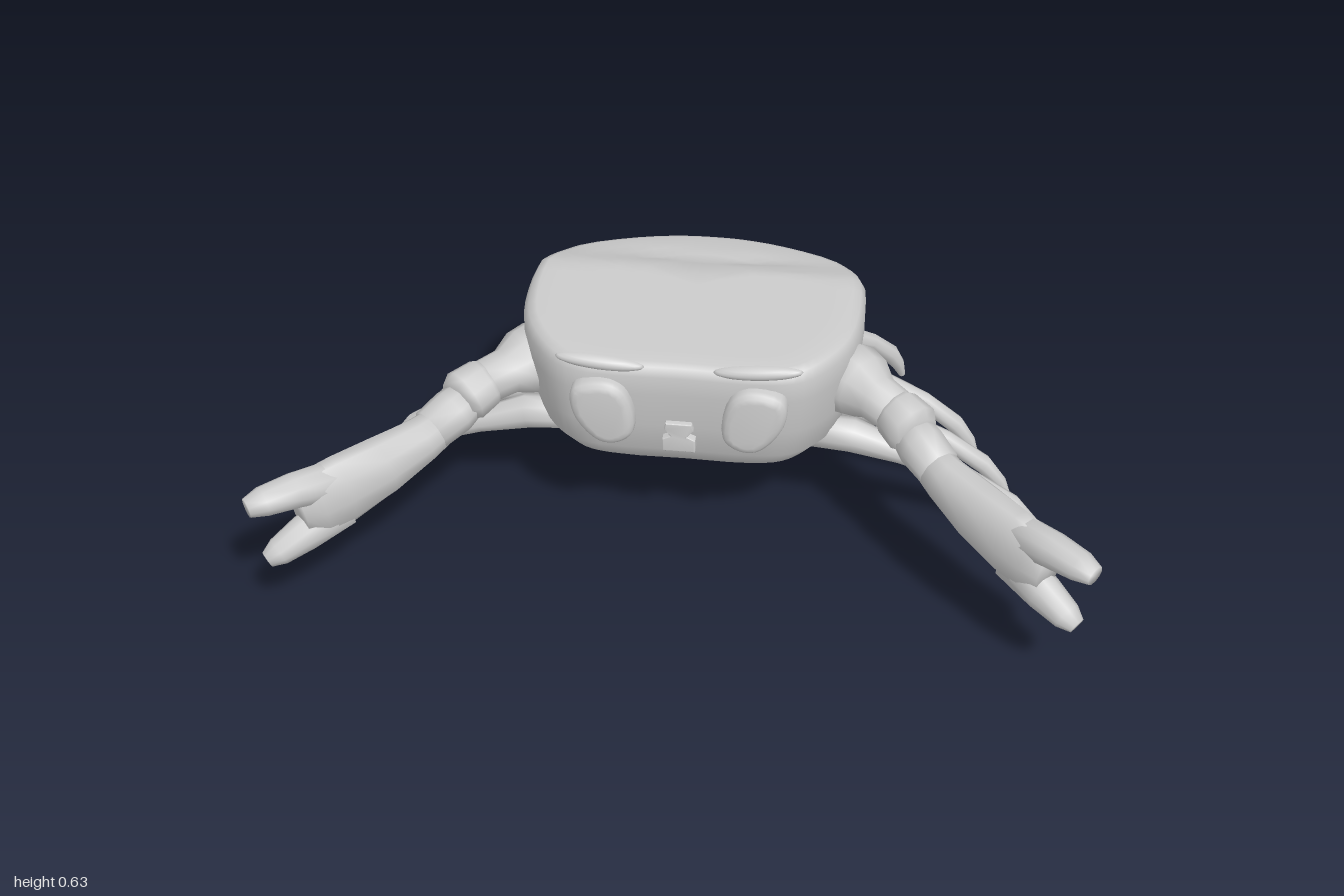
import * as THREE from 'three';
import { mergeVertices, toCreasedNormals } from 'three/addons/utils/BufferGeometryUtils.js';

const grey = new THREE.MeshStandardMaterial({ color: 0xcccccc });
const greyDouble = new THREE.MeshStandardMaterial({ color: 0xcccccc, side: THREE.DoubleSide });
const V = (x, y, z) => new THREE.Vector3(x, y, z);

function addMesh(parent, name, geometry, material = grey) {
  const mesh = new THREE.Mesh(geometry, material);
  mesh.name = name;
  parent.add(mesh);
  return mesh;
}

// Smooth skin over a stack of closed rings with equal point counts
function skin(rings) {
  const n = rings[0].length, index = [];
  for (let r = 0; r < rings.length - 1; r++) {
    for (let i = 0; i < n; i++) {
      const a = r * n + i, b = r * n + (i + 1) % n;
      index.push(a, b, b + n, a, b + n, a + n);
    }
  }
  const geometry = new THREE.BufferGeometry().setFromPoints(rings.flat());
  geometry.setIndex(index);
  const merged = mergeVertices(geometry, 1e-5);
  merged.computeVertexNormals();
  return merged;
}

// Limb through points [x, y, z, halfWidth, halfHeight], closed at both ends
function limb(points, side, sides = 10) {
  const c = points.map(p => V(p[0] * side, p[1], p[2]));
  const rings = points.map((p, k) => {
    const t = c[Math.min(k + 1, c.length - 1)].clone().sub(c[Math.max(k - 1, 0)]).normalize();
    const across = V(0, 1, 0).cross(t).normalize();
    const up = t.clone().cross(across);
    return Array.from({ length: sides }, (_, i) => {
      const a = i / sides * Math.PI * 2;
      return c[k].clone().addScaledVector(across, Math.cos(a) * p[3])
        .addScaledVector(up, Math.sin(a) * (p[4] ?? p[3]));
    });
  });
  const cap = p => Array.from({ length: sides }, () => p.clone());
  return skin([cap(c[0]), ...rings, cap(c[c.length - 1])]);
}

function plate(shape, depth, bevel, z) {
  const g = new THREE.ExtrudeGeometry(shape, {
    depth, bevelThickness: bevel, bevelSize: bevel, bevelOffset: -bevel, bevelSegments: 3, curveSegments: 10,
  });
  g.translate(0, 0, z);
  return toCreasedNormals(g, 0.7);
}

function shellGeometry() {
  const half = [[0.22, 0.19], [0.3, 0.165], [0.36, 0.1], [0.41, 0], [0.427, -0.15],
    [0.41, -0.3], [0.35, -0.41], [0.2, -0.5], [0.08, -0.535]];
  const pts = [[0, 0.19], ...half, [0, -0.54], ...half.map(([x, z]) => [-x, z]).reverse()];
  const outline = new THREE.CatmullRomCurve3(pts.map(([x, z]) => V(x, 0, z)), true).getPoints(60).slice(0, 60);
  const centreZ = -0.17;
  const bottom = z => 0.24 + 0.5 * (z + 0.07) ** 2;
  const top = (x, z) => {
    const slope = z > -0.25 ? 0.6 : z > -0.36 ? 0.6 + (z + 0.25) * 0.36 : 0.56 + (z + 0.36) * 0.24;
    const groove = 0.014 * Math.exp(-(((z + 0.36) / 0.03) ** 2)) * Math.exp(-((x / 0.2) ** 4));
    return slope - groove;
  };
  // [height fraction, outline scale] from belly to back
  const levels = [[0, 0], [0, 0.25], [0, 0.5], [0, 0.72], [0.07, 0.82], [0.2, 0.91], [0.45, 0.965],
    [0.75, 0.995], [0.91, 0.995], [0.98, 0.965], [1, 0.92], [1, 0.8], [1, 0.7], [1, 0.6],
    [1, 0.5], [1, 0.35], [1, 0.15], [1, 0]];
  return skin(levels.map(([t, s]) => outline.map(p => {
    const x = p.x * s, z = centreZ + (p.z - centreZ) * s;
    return V(x, THREE.MathUtils.lerp(bottom(z), top(x, z), t), z);
  })));
}

// Leg profile: [fraction of reach, fraction of drop, radius]
const legProfile = [[0, 0, 0.043], [0.17, 0.02, 0.045], [0.38, 0.16, 0.031], [0.66, 0.37, 0.024],
  [0.86, 0.63, 0.025], [0.95, 0.82, 0.018], [1, 1, 0.009]];
// Legs from front to rear: [root, tip]
const legs = [
  [[0.31, 0.305, 0.0], [0.912, 0.006, 0.005]],
  [[0.31, 0.29, -0.15], [0.825, 0.006, -0.16]],
  [[0.31, 0.295, -0.29], [0.735, 0.03, -0.3]],
  [[0.26, 0.3, -0.41], [0.525, 0.07, -0.585]],
];

const armParts = {
  shoulder: [[0.35, 0.46, -0.05, 0.07], [0.39, 0.46, -0.015, 0.095], [0.425, 0.46, 0.015, 0.085],
    [0.46, 0.455, 0.05, 0.06], [0.52, 0.445, 0.1, 0.056]],
  elbow: [[0.49, 0.45, 0.075, 0.05], [0.51, 0.445, 0.09, 0.064], [0.55, 0.43, 0.13, 0.07],
    [0.565, 0.425, 0.15, 0.055]],
  wrist: [[0.54, 0.425, 0.12, 0.052], [0.575, 0.405, 0.165, 0.06], [0.62, 0.385, 0.22, 0.055]],
  palm: [[0.585, 0.395, 0.185, 0.046, 0.05], [0.64, 0.373, 0.245, 0.054, 0.062],
    [0.72, 0.352, 0.33, 0.062, 0.084], [0.8, 0.335, 0.41, 0.06, 0.1],
    [0.85, 0.325, 0.455, 0.054, 0.102], [0.885, 0.318, 0.49, 0.038, 0.055]],
  upperFinger: [[0.8, 0.37, 0.41, 0.045, 0.055], [0.89, 0.39, 0.495, 0.045, 0.044],
    [0.95, 0.394, 0.548, 0.04, 0.035], [0.982, 0.39, 0.572, 0.026, 0.024]],
  lowerFinger: [[0.8, 0.285, 0.41, 0.045, 0.06], [0.88, 0.253, 0.485, 0.045, 0.047],
    [0.935, 0.226, 0.53, 0.037, 0.034], [0.96, 0.213, 0.548, 0.022, 0.02]],
};

const eyeOutline = [[0.248, 0.545], [0.168, 0.56], [0.125, 0.53], [0.108, 0.42],
  [0.145, 0.385], [0.193, 0.385], [0.248, 0.445], [0.263, 0.51]];

export function createModel() {
  const model = new THREE.Group();
  model.name = 'crab';
  const body = new THREE.Group();
  body.name = 'body';
  body.position.x = -0.012;
  model.add(body);

  addMesh(body, 'shell', shellGeometry());

  // Mouth: hourglass plate with a round opening
  const mouth = new THREE.Shape([[-0.04, 0.355], [0.04, 0.355], [0.04, 0.39], [0.02, 0.4], [0.036, 0.42],
    [0.032, 0.438], [-0.032, 0.438], [-0.036, 0.42], [-0.02, 0.4], [-0.04, 0.39]]
    .map(([x, y]) => new THREE.Vector2(x, y)));
  mouth.holes.push(new THREE.Path().absarc(0, 0.4, 0.015, 0, Math.PI * 2, true));
  addMesh(body, 'mouth', plate(mouth, 0.04, 0.003, 0.151));

  for (const side of [1, -1]) {
    const label = side > 0 ? 'left' : 'right';

    // Eyes: rounded pads on the face
    const eye = new THREE.Shape();
    eye.setFromPoints(new THREE.CatmullRomCurve3(eyeOutline.map(([x, y]) => V(x * side, y, 0)), true)
      .getPoints(32).slice(0, 32).map(p => new THREE.Vector2(p.x, p.y)));
    addMesh(body, label + 'Eye', plate(eye, 0.055, 0.022, 0.148));

    // Brows: half lenses hovering over the face
    const brow = addMesh(body, label + 'Brow', new THREE.SphereGeometry(1, 16, 10, 0, Math.PI), greyDouble);
    brow.scale.set(0.108, 0.019, 0.024);
    brow.position.set(0.19 * side, 0.606, 0.185);
    brow.rotation.z = 0.08 * side;

    // Walking legs
    legs.forEach(([root, tip], i) => {
      const points = legProfile.map(([reach, drop, r]) => [
        THREE.MathUtils.lerp(root[0], tip[0], reach),
        THREE.MathUtils.lerp(root[1], tip[1], drop),
        THREE.MathUtils.lerp(root[2], tip[2], reach), r]);
      addMesh(body, label + 'Leg' + (i + 1), limb(points, side, 8));
    });

    // Claw arm
    const arm = new THREE.Group();
    arm.name = label + 'ClawArm';
    for (const [name, points] of Object.entries(armParts)) addMesh(arm, name, limb(points, side));
    model.add(arm);
  }
  return model;
}
